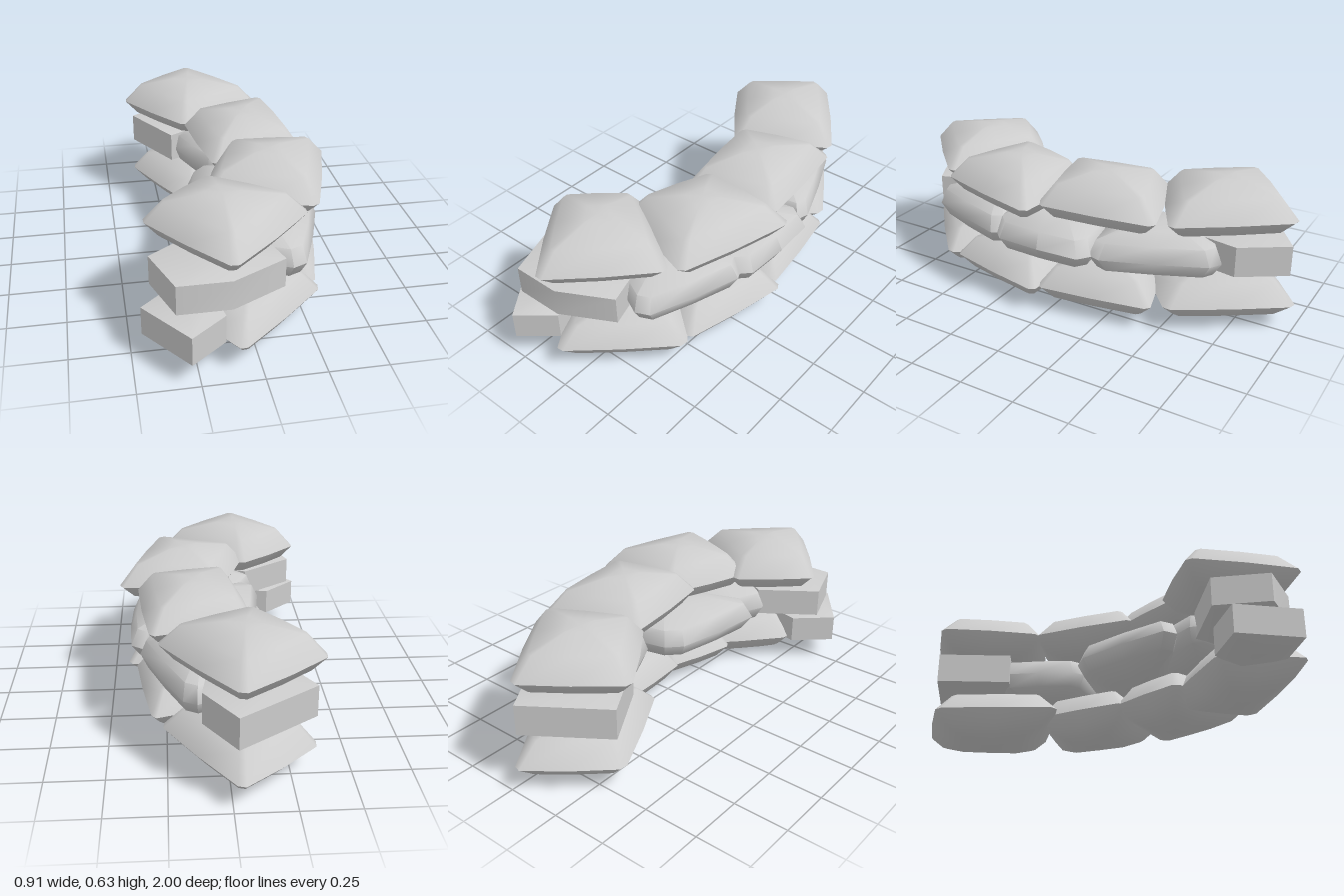
import * as THREE from 'three';
import { toCreasedNormals } from 'three/addons/utils/BufferGeometryUtils.js';

const sack = new THREE.MeshStandardMaterial({ color: 0xcccccc });
sack.name = 'grey sackcloth';

// Four [x, z] corners -> outline with clipped corners and slightly bulging sides
function bagOutline(corners, clip, bulge) {
  const cx = corners.reduce((s, c) => s + c[0], 0) / 4;
  const cz = corners.reduce((s, c) => s + c[1], 0) / 4;
  const out = [];
  corners.forEach((a, i) => {
    const b = corners[(i + 1) % 4];
    for (const t of [clip, 0.5, 1 - clip]) {
      const k = t === 0.5 ? bulge : 1;
      const x = a[0] + (b[0] - a[0]) * t, z = a[1] + (b[1] - a[1]) * t;
      out.push([cx + (x - cx) * k, cz + (z - cz) * k]);
    }
  });
  return out;
}

// Loft an outline through [y, scale] levels, closing both ends with a fan
function loft(name, outline, levels, crease) {
  const n = outline.length;
  const cx = outline.reduce((s, p) => s + p[0], 0) / n;
  const cz = outline.reduce((s, p) => s + p[1], 0) / n;
  let area = 0;
  outline.forEach((p, i) => {
    const q = outline[(i + 1) % n];
    area += p[0] * q[1] - q[0] * p[1];
  });
  const ring = area > 0 ? [...outline].reverse() : outline;
  const pos = [], idx = [];
  for (const [y, s] of levels) {
    for (const [x, z] of ring) pos.push(cx + (x - cx) * s, y, cz + (z - cz) * s);
  }
  for (let l = 0; l < levels.length - 1; l++) {
    for (let i = 0; i < n; i++) {
      const j = (i + 1) % n, a = l * n + i, b = l * n + j;
      idx.push(a, b, b + n, a, b + n, a + n);
    }
  }
  const last = (levels.length - 1) * n, c0 = levels.length * n;
  pos.push(cx, levels[0][0], cz, cx, levels[levels.length - 1][0], cz);
  for (let i = 0; i < n; i++) {
    const j = (i + 1) % n;
    idx.push(c0, j, i, c0 + 1, last + i, last + j);
  }
  const g = new THREE.BufferGeometry();
  g.setAttribute('position', new THREE.Float32BufferAttribute(pos, 3));
  g.setIndex(idx);
  const mesh = new THREE.Mesh(toCreasedNormals(g, crease), sack);
  mesh.name = name;
  return mesh;
}

// Height profiles relative to the seam
const pillow = [[-0.1, 0.2], [-0.09, 0.5], [-0.06, 0.82], [0, 1], [0.09, 0.74], [0.124, 0.22]];
const low = [[-0.115, 0.15], [-0.098, 0.5], [-0.06, 0.8], [0, 1], [0.09, 0.74], [0.122, 0.22]];
const round = [[-0.1, 0.4], [-0.06, 0.88], [0, 1], [0.07, 0.9], [0.107, 0.5]];

const rows = [
  { name: 'bottomBag', seam: 0.115, profile: low, clip: 0.05, bags: [
    [[-0.08, 0.96], [0.33, 0.59], [0.05, 0.27], [-0.28, 0.63]],
    [[0.31, 0.56], [0.43, 0.04], [0, 0.02], [-0.1, 0.37]],
    [[0.39, 0.05], [0.31, -0.48], [-0.04, -0.36], [-0.02, 0.07]],
    [[0.28, -0.53], [-0.03, -1.01], [-0.37, -0.72], [-0.11, -0.22]],
  ] },
  { name: 'middleBag', seam: 0.315, profile: round, clip: 0.1, bags: [
    [[0.21, 0.75], [0.39, 0.25], [-0.05, 0.2], [-0.22, 0.52]],
    [[0.4, 0.28], [0.4, -0.22], [-0.14, -0.12], [-0.23, 0.43]],
    [[0.38, -0.2], [0.16, -0.74], [-0.18, -0.52], [-0.02, -0.15]],
  ] },
  { name: 'topBag', seam: 0.507, profile: pillow, clip: 0.05, bags: [
    [[-0.14, 0.33], [-0.43, 0.58], [-0.12, 0.98], [0.26, 0.61]],
    [[0, 0.01], [0.46, 0.05], [0.3, 0.59], [-0.15, 0.42]],
    [[0.31, -0.49], [0.37, 0.05], [-0.06, 0.14], [-0.13, -0.35]],
    [[-0.03, -0.99], [-0.4, -0.7], [-0.13, -0.32], [0.29, -0.54]],
  ] },
];

// Half bags with flat upright faces that finish the ends of the rows
const ends = [
  { name: 'middleFrontEnd', y: [0.23, 0.27, 0.398, 0.42],
    outline: [[-0.41, 0.67], [-0.33, 0.9], [-0.11, 0.9], [0.12, 0.78], [0.07, 0.62], [-0.17, 0.5]] },
  { name: 'middleBackEnd', y: [0.23, 0.262, 0.4, 0.42],
    outline: [[-0.35, -0.74], [-0.02, -0.97], [0.11, -0.77], [0.08, -0.6], [-0.18, -0.45]] },
  { name: 'bottomFrontEnd', y: [0.075, 0.105, 0.23, 0.25],
    outline: [[-0.455, 0.77], [-0.285, 1.0], [-0.135, 0.88], [-0.17, 0.66], [-0.3, 0.63]] },
];

export function createModel() {
  const group = new THREE.Group();
  group.name = 'curvedSandbagWall';
  for (const row of rows) {
    row.bags.forEach((corners, i) => {
      const levels = row.profile.map(([y, s]) => [row.seam + y, s]);
      group.add(loft(row.name + (i + 1), bagOutline(corners, row.clip, 1.03), levels, 0.95));
    });
  }
  for (const { name, y, outline } of ends) {
    group.add(loft(name, outline, [[y[0], 0.55], [y[1], 1], [y[2], 1], [y[3], 0.55]], 0.6));
  }
  return group;
}
